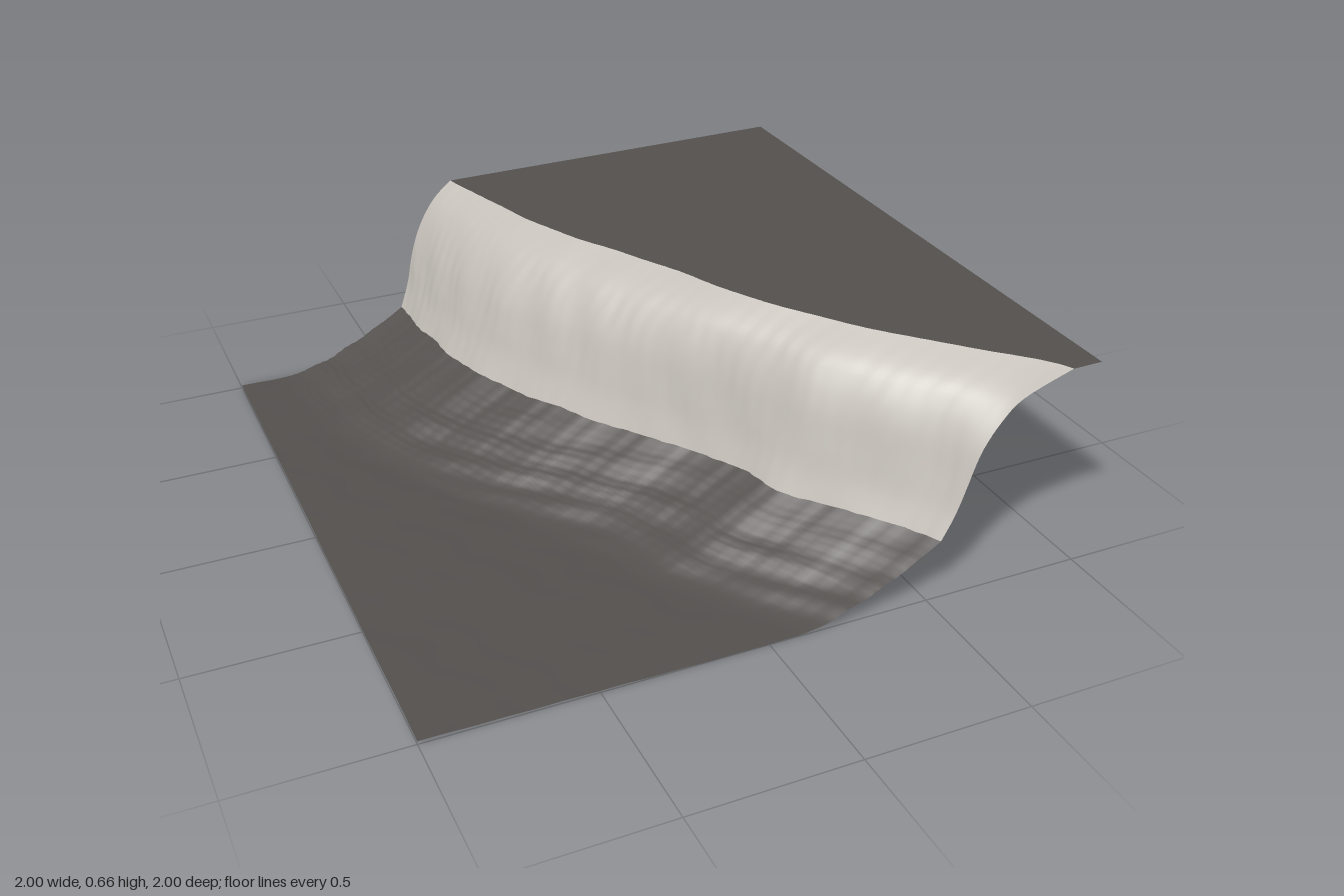
import * as THREE from 'three';

const ROWS = 140;
const lerp = THREE.MathUtils.lerp;
const spline = (pts) => new THREE.SplineCurve(pts.map(([x, y]) => new THREE.Vector2(x, y)));

// Cliff foot and cliff rim: x at even steps of z from -1 to 1
const line = (xs) => spline(xs.map((x, i) => [x, -1 + (2 * i) / (xs.length - 1)]));
const footLine = line([-0.41, -0.395, -0.37, -0.31, -0.21, -0.095, 0.05, 0.175, 0.25, 0.40, 0.53]);
const rimLine = line([-0.205, -0.15, -0.09, -0.01, 0.10, 0.20, 0.29, 0.41, 0.56, 0.74, 0.91]);

// Cliff section (0..1 across, 0..1 up) at the back and at the front
const backSection = spline([[0, 0], [0.13, 0.2], [0.22, 0.38], [0.33, 0.56], [0.5, 0.74], [0.71, 0.88], [1, 1]]);
const frontSection = spline([[0, 0], [0.1, 0.16], [0.19, 0.36], [0.29, 0.59], [0.42, 0.76], [0.6, 0.88], [1, 1]]);

// Smooth repeatable roughness
const wave = (a, b) =>
  0.5 * Math.sin(a * 7 + 2 * Math.sin(b * 5)) +
  0.3 * Math.sin(b * 13 + a * 4 + 1.3) +
  0.2 * Math.sin(a * 29 - b * 17 + Math.sin(b * 23));

const zAt = (v) => -1 + 2 * v;
const footX = (v) => footLine.getPoint(v).x + 0.006 * wave(v * 9, 2);
const footY = (v) => 0.2 + 0.005 * wave(v * 6, 4);
const rimX = (v) => rimLine.getPoint(v).x + 0.003 * wave(v * 8, 7);
const plateauY = (x) => 0.65 + 0.0155 * (x + 0.2) / 1.2;

// Ground: nearly flat, sweeping up into a ridged scree slope
function groundPoint(u, v) {
  const z = zAt(v), fx = footX(v);
  const x = lerp(-1, fx, 1 - Math.pow(1 - u, 1.3));
  const d = fx - x;
  const rise = Math.pow(Math.max(0, 1 - d / 0.43), 1.5);
  const base = 0.01 + 0.008 * THREE.MathUtils.smoothstep(-x, 0.3, 1);
  const fade = Math.min(1, d / 0.06);
  const slope = Math.exp(-Math.pow((d - 0.22) / 0.16, 2));
  const ridges = 0.006 * slope * wave(d * 8 + z * 0.8, z * 1.1);
  const bumps = 0.0025 * wave(x * 1.3, z * 1.2);
  return [x, Math.max(0, base + (footY(v) - base) * rise + fade * (ridges + bumps)), z];
}

// Cliff: section blended from back to front, with vertical weathering grooves
function cliffPoint(u, v) {
  const a = backSection.getPoint(u), b = frontSection.getPoint(u);
  const fx = footX(v), rx = rimX(v), fy = footY(v);
  const groove = 0.005 * Math.sin(Math.PI * u) * wave(v * 9 + u * 0.5, u * 0.6 + v * 2);
  return [
    lerp(fx, rx, lerp(a.x, b.x, v)) + groove,
    lerp(fy, plateauY(rx), lerp(a.y, b.y, v)),
    zAt(v),
  ];
}

// Plateau: gently rising flat top from the rim to the far side
function plateauPoint(u, v) {
  const x = lerp(rimX(v), 1, u);
  return [x, plateauY(x), zAt(v)];
}

// Grid surface from a point rule, facing up
function sheet(name, point, cols, material) {
  const pos = [], index = [], w = cols + 1;
  for (let i = 0; i <= ROWS; i++)
    for (let j = 0; j <= cols; j++) {
      pos.push(...point(j / cols, i / ROWS));
      if (i < ROWS && j < cols) {
        const a = i * w + j;
        index.push(a, a + w, a + 1, a + 1, a + w, a + w + 1);
      }
    }
  const geo = new THREE.BufferGeometry();
  geo.setAttribute('position', new THREE.Float32BufferAttribute(pos, 3));
  geo.setIndex(index);
  geo.computeVertexNormals();
  const mesh = new THREE.Mesh(geo, material);
  mesh.name = name;
  return mesh;
}

export function createModel() {
  const earth = new THREE.MeshStandardMaterial({ color: 0x54504e, side: THREE.DoubleSide });
  earth.name = 'darkEarth';
  const rock = new THREE.MeshStandardMaterial({ color: 0xc4bfb8, side: THREE.DoubleSide });
  rock.name = 'paleRock';

  const group = new THREE.Group();
  group.name = 'cliffTerrain';
  group.add(
    sheet('lowerGround', groundPoint, 110, earth),
    sheet('cliffFace', cliffPoint, 28, rock),
    sheet('plateau', plateauPoint, 12, earth),
  );
  return group;
}
